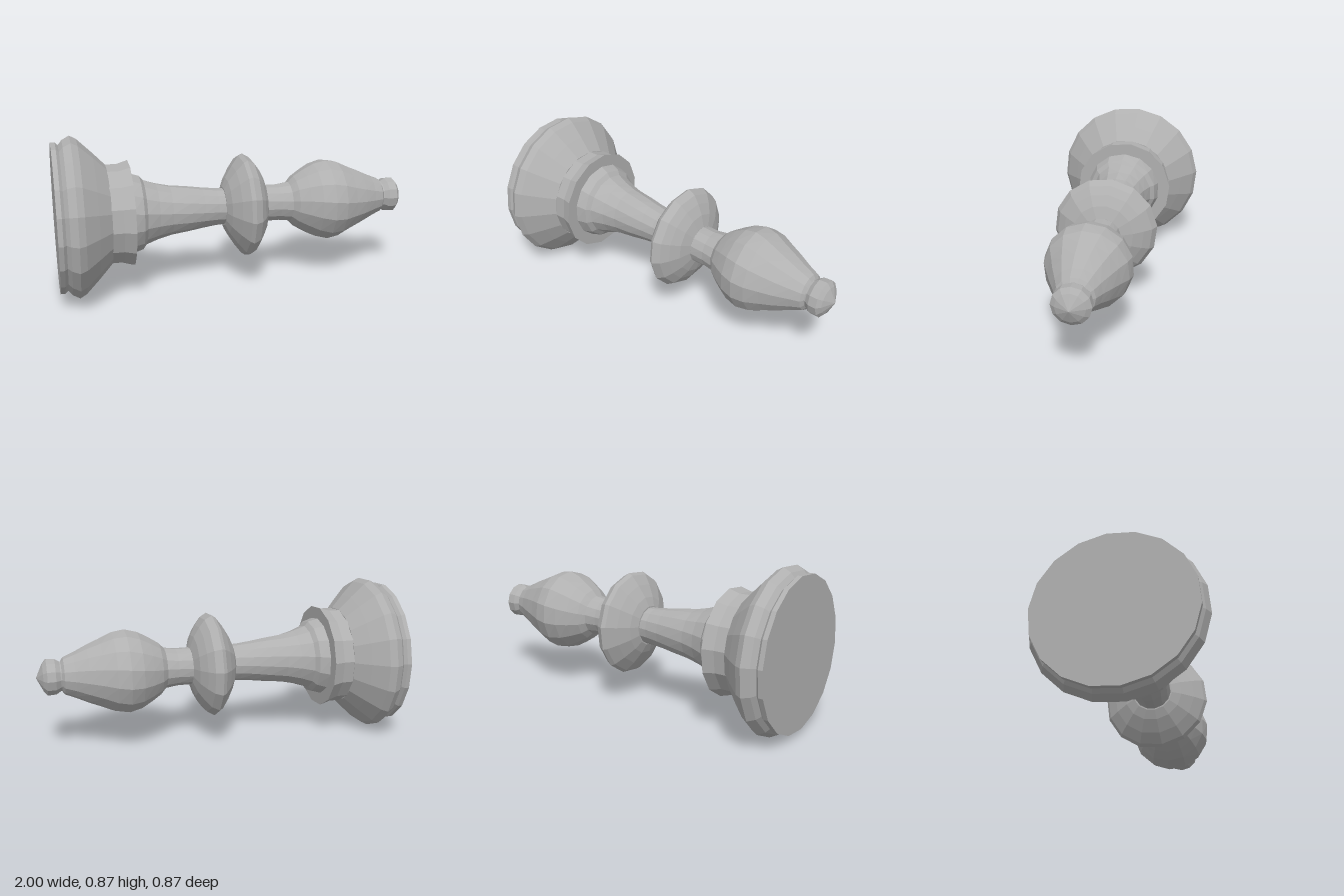
import * as THREE from 'three';

const stone = new THREE.MeshStandardMaterial({ color: 0xb0b0b0, flatShading: true });
stone.name = 'grey stone';

const AXIS_Y = 0.435;

// Faceted turned part lying along x; profile holds [x, radius] pairs, twist is in radians per unit
function turned(name, sides, phase, twist, profile) {
  const points = profile.map(([x, r]) => new THREE.Vector2(r, x));
  const geometry = new THREE.LatheGeometry(points, sides, phase);
  const p = geometry.attributes.position;
  for (let i = 0; i < p.count; i++) {
    const a = twist * (p.getY(i) - profile[0][0]);
    const x = p.getX(i), z = p.getZ(i);
    p.setX(i, x * Math.cos(a) + z * Math.sin(a));
    p.setZ(i, z * Math.cos(a) - x * Math.sin(a));
  }
  geometry.rotateZ(-Math.PI / 2);
  geometry.computeVertexNormals();
  const mesh = new THREE.Mesh(geometry, stone);
  mesh.name = name;
  mesh.position.y = AXIS_Y;
  return mesh;
}

export function createModel() {
  const piece = new THREE.Group();
  piece.name = 'lyingChessPiece';

  // Flat-bottomed foot with a rounded rim and a sloping shoulder
  piece.add(turned('base', 18, 0.07, 0, [
    [-1, 0], [-1, 0.405], [-0.975, 0.405], [-0.96, 0.39], [-0.94, 0.415], [-0.9, 0.437],
    [-0.865, 0.418], [-0.79, 0.345], [-0.72, 0.272], [-0.72, 0],
  ]));

  // Flared collar with a flat step
  piece.add(turned('collar', 14, 0.1, 0, [
    [-0.73, 0], [-0.73, 0.272], [-0.66, 0.272], [-0.6, 0.29], [-0.6, 0],
  ]));

  // Tapering neck
  piece.add(turned('neck', 14, 0.2, 0.6, [
    [-0.61, 0.225], [-0.545, 0.205], [-0.525, 0.18], [-0.455, 0.155], [-0.38, 0.137],
    [-0.28, 0.125], [-0.2, 0.113], [-0.12, 0.104], [-0.06, 0.102],
  ]));

  // Wide disc at the middle
  piece.add(turned('disc', 14, 0.1, 0, [
    [-0.08, 0], [-0.08, 0.11], [-0.06, 0.16], [-0.02, 0.225], [0.02, 0.277], [0.04, 0.29],
    [0.08, 0.267], [0.11, 0.225], [0.14, 0.17], [0.16, 0.105], [0.16, 0],
  ]));

  // Short stem swelling into the bulb-shaped head
  piece.add(turned('head', 14, 0.1, 0.5, [
    [0.14, 0.104], [0.24, 0.104], [0.305, 0.113], [0.335, 0.145], [0.39, 0.18], [0.45, 0.213],
    [0.52, 0.231], [0.59, 0.219], [0.66, 0.187], [0.73, 0.157], [0.8, 0.123], [0.855, 0.1],
    [0.87, 0.078], [0.87, 0],
  ]));

  // Pointed knob on the tip
  piece.add(turned('knob', 12, 0, 0, [
    [0.85, 0.078], [0.875, 0.082], [0.9, 0.098], [0.945, 0.1], [0.965, 0.075], [1, 0],
  ]));

  return piece;
}
